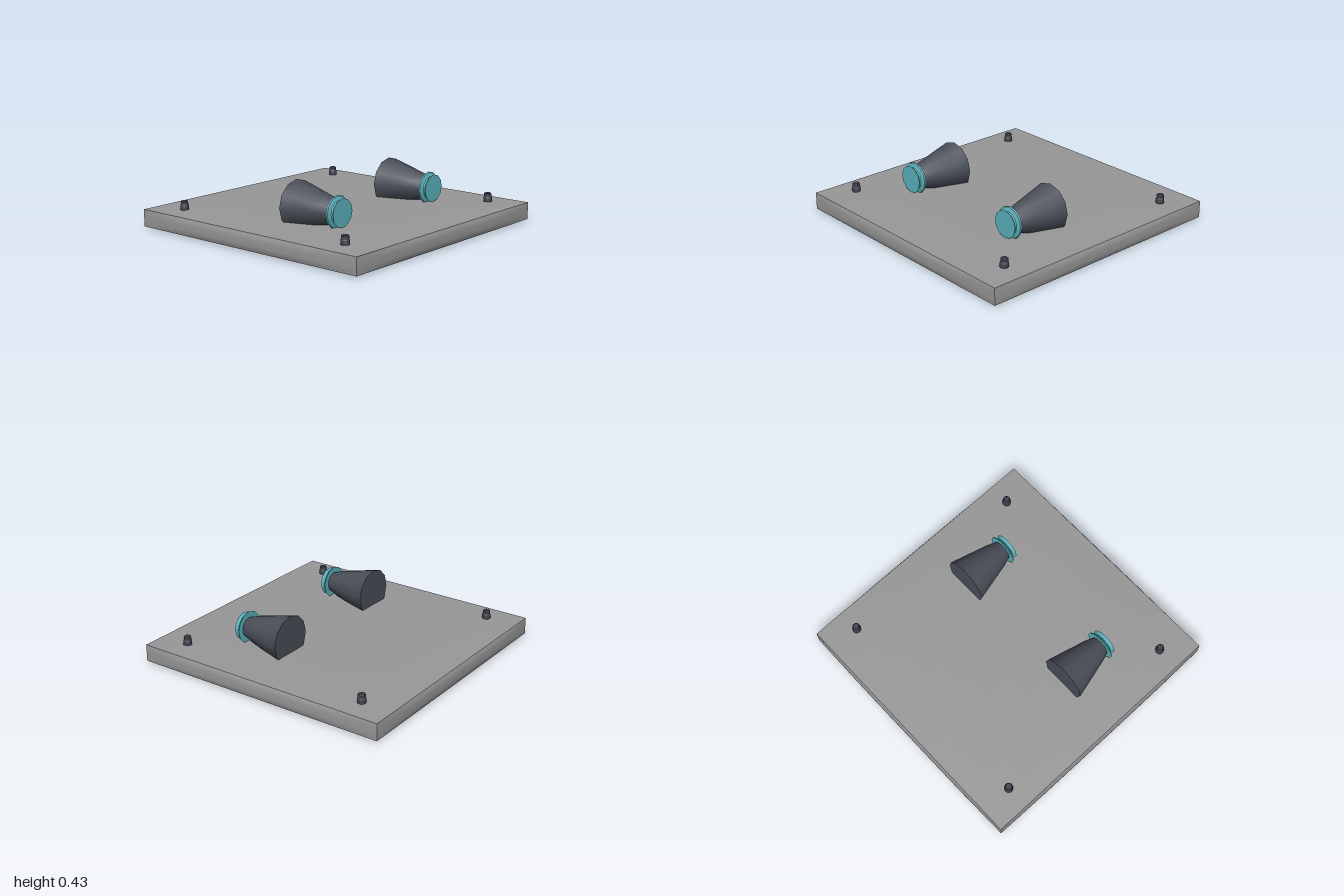
import * as THREE from 'three';
import { toCreasedNormals } from 'three/addons/utils/BufferGeometryUtils.js';

const material = (name, color) => {
  const m = new THREE.MeshStandardMaterial({ color });
  m.name = name;
  return m;
};

// Turned shape from [radius, height] pairs; soft around, sharp at strong bends
function turned(profile, sides) {
  const points = profile.map(([r, h]) => new THREE.Vector2(r, h));
  return toCreasedNormals(new THREE.LatheGeometry(points, sides), 0.6);
}

// Square slab whose six faces swell slightly toward their middles
function slabGeometry() {
  const half = new THREE.Vector3(0.988, 0.063, 0.988);
  const bulge = 0.012;
  const geo = new THREE.BoxGeometry(half.x * 2, half.y * 2, half.z * 2, 10, 6, 10);
  const pos = geo.attributes.position;
  const axes = ['x', 'y', 'z'];
  const p = new THREE.Vector3();
  for (let i = 0; i < pos.count; i++) {
    p.fromBufferAttribute(pos, i);
    const u = p.clone().divide(half);
    axes.forEach((a, k) => {
      const b = u[axes[(k + 1) % 3]], c = u[axes[(k + 2) % 3]];
      p[a] += u[a] * bulge * (1 - b ** 4) * (1 - c ** 4);
    });
    pos.setXYZ(i, p.x, p.y, p.z);
  }
  geo.translate(0, 0.075, 0);
  geo.computeVertexNormals();
  return geo;
}

export function createModel() {
  const model = new THREE.Group();
  model.name = 'mountingPlate';

  const grey = material('plateGrey', 0x989898);
  const slate = material('coneSlate', 0x4a4f59);
  const dark = material('pinDark', 0x3d414c);
  const teal = material('nozzleTeal', 0x5bb3be);

  const add = (parent, name, geo, mat) => {
    const mesh = new THREE.Mesh(geo, mat);
    mesh.name = name;
    parent.add(mesh);
    return mesh;
  };

  add(model, 'slab', slabGeometry(), grey);

  // Tapered body with a closed wide end
  const coneGeo = turned([
    [0, 0.06], [0.177, 0.06], [0.152, 0.16], [0.126, 0.26],
    [0.1, 0.36], [0.072, 0.435], [0, 0.435],
  ], 12).rotateZ(-Math.PI / 2);

  // Spool-shaped tip: wide flange, narrow groove, flat end
  const tipGeo = turned([
    [0, 0.427], [0.118, 0.427], [0.113, 0.436], [0.085, 0.446],
    [0.08, 0.455], [0.102, 0.475], [0, 0.475],
  ], 12).rotateZ(-Math.PI / 2);

  const pinGeo = turned([
    [0.031, 0.14], [0.031, 0.172], [0.027, 0.178],
    [0.027, 0.2], [0.021, 0.206], [0, 0.206],
  ], 12);

  for (const side of [1, -1]) {
    const horn = new THREE.Group();
    horn.name = side > 0 ? 'frontHorn' : 'backHorn';
    horn.position.set(0, 0.25, side * 0.513);
    add(horn, 'cone', coneGeo, slate);
    add(horn, 'tip', tipGeo, teal);
    model.add(horn);

    // Corner pins
    for (const x of [-0.75, 0.75]) {
      add(model, 'cornerPin', pinGeo, dark).position.set(x, 0, side * 0.813);
    }
  }
  return model;
}
